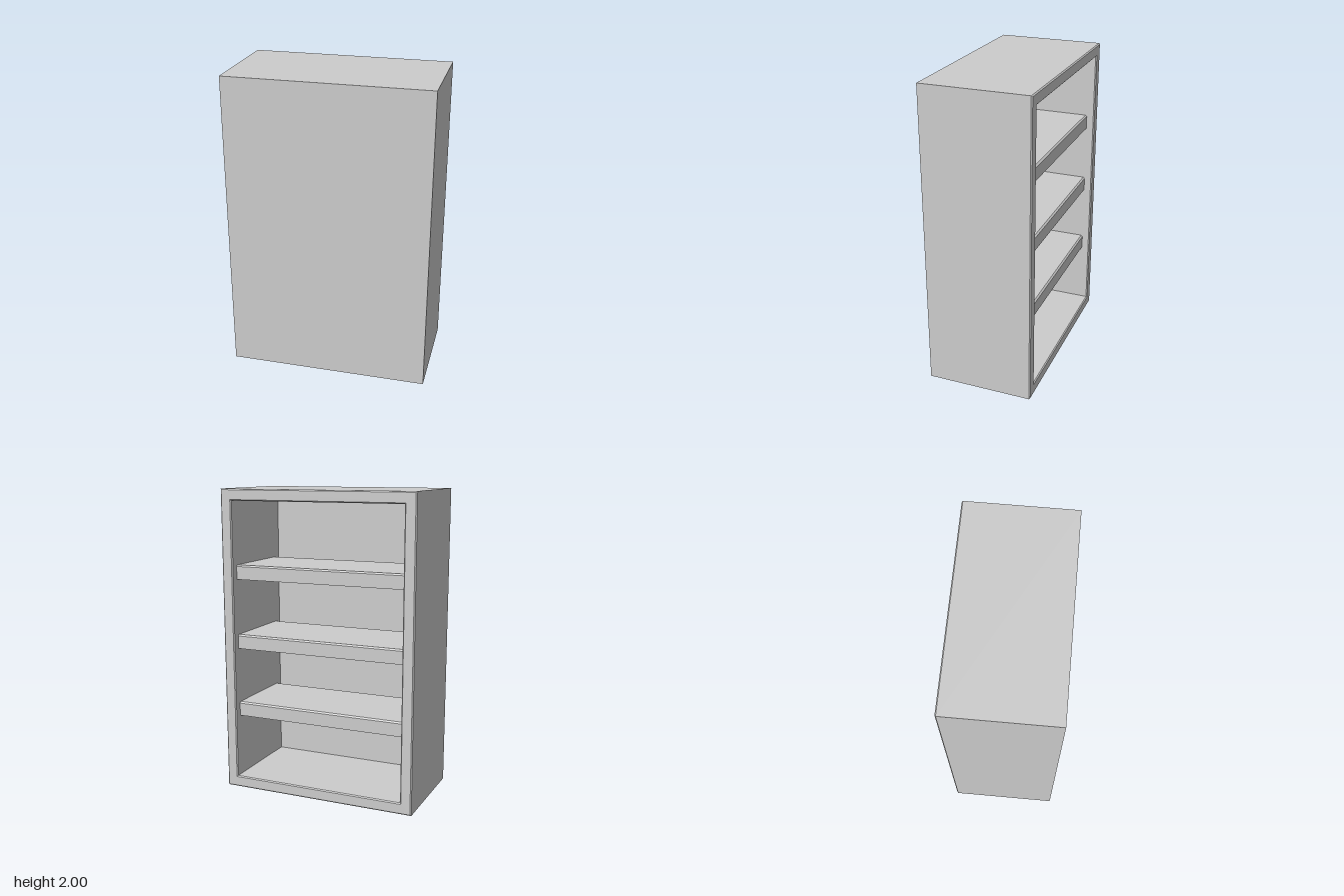
import * as THREE from 'three';

const material = new THREE.MeshStandardMaterial({ color: 0xcccccc });

// Overall size, wall and back thickness, chamfer
const W = 1.316, H = 2, D = 0.7;
const WALL = 0.075, CHAMFER = 0.007, BACK_Z = 0.292;
const INNER_W = W - 2 * WALL, INNER_H = H - 2 * WALL;

// Closed skin through rectangular sections [width, height, z], capped at both ends
function loftRectangles(sections) {
  const loops = sections.map(([w, h, z]) =>
    [[1, 1], [-1, 1], [-1, -1], [1, -1]].map(([x, y]) => [x * w / 2, y * h / 2, z]));
  const positions = [];
  const quad = (a, b, c, d) => positions.push(...a, ...b, ...c, ...a, ...c, ...d);
  quad(...loops[0]);
  for (let s = 0; s < loops.length - 1; s++) {
    const a = loops[s], b = loops[s + 1];
    for (let i = 0; i < 4; i++) {
      const j = (i + 1) % 4;
      quad(a[i], b[i], b[j], a[j]);
    }
  }
  quad(...loops[loops.length - 1].slice().reverse());
  const geometry = new THREE.BufferGeometry();
  geometry.setAttribute('position', new THREE.Float32BufferAttribute(positions, 3));
  geometry.computeVertexNormals();
  return geometry;
}

// Shelf board: side profile with a chamfered upper lip, extruded across the width
function shelfGeometry(width, thickness, zOpen, zRear, chamfer) {
  const t = thickness / 2;
  const profile = new THREE.Shape([
    [-zRear, -t], [-zOpen, -t], [-zOpen, t - chamfer], [-zOpen - chamfer, t], [-zRear, t],
  ].map(([u, v]) => new THREE.Vector2(u, v)));
  return new THREE.ExtrudeGeometry(profile, { depth: width, bevelEnabled: false })
    .translate(0, 0, -width / 2)
    .rotateY(Math.PI / 2);
}

export function createModel() {
  const group = new THREE.Group();
  group.name = 'bookcase';

  // Carcass: plain panel at +z, opening with chamfered rim at -z
  const rim = 2 * CHAMFER;
  const carcass = new THREE.Mesh(loftRectangles([
    [W, H, D / 2],
    [W, H, -D / 2 + CHAMFER],
    [W - rim, H - rim, -D / 2],
    [INNER_W + rim, INNER_H + rim, -D / 2],
    [INNER_W, INNER_H, -D / 2 + CHAMFER],
    [INNER_W, INNER_H, BACK_Z],
  ]), material);
  carcass.name = 'carcass';
  carcass.position.y = H / 2;
  group.add(carcass);

  // Three evenly spaced shelves, set in from the opening and from the panel
  const board = shelfGeometry(INNER_W, 0.095, -0.297, 0.231, 0.01);
  for (let i = 1; i <= 3; i++) {
    const shelf = new THREE.Mesh(board, material);
    shelf.name = `shelf${i}`;
    shelf.position.y = WALL + (INNER_H * i) / 4;
    group.add(shelf);
  }
  return group;
}
